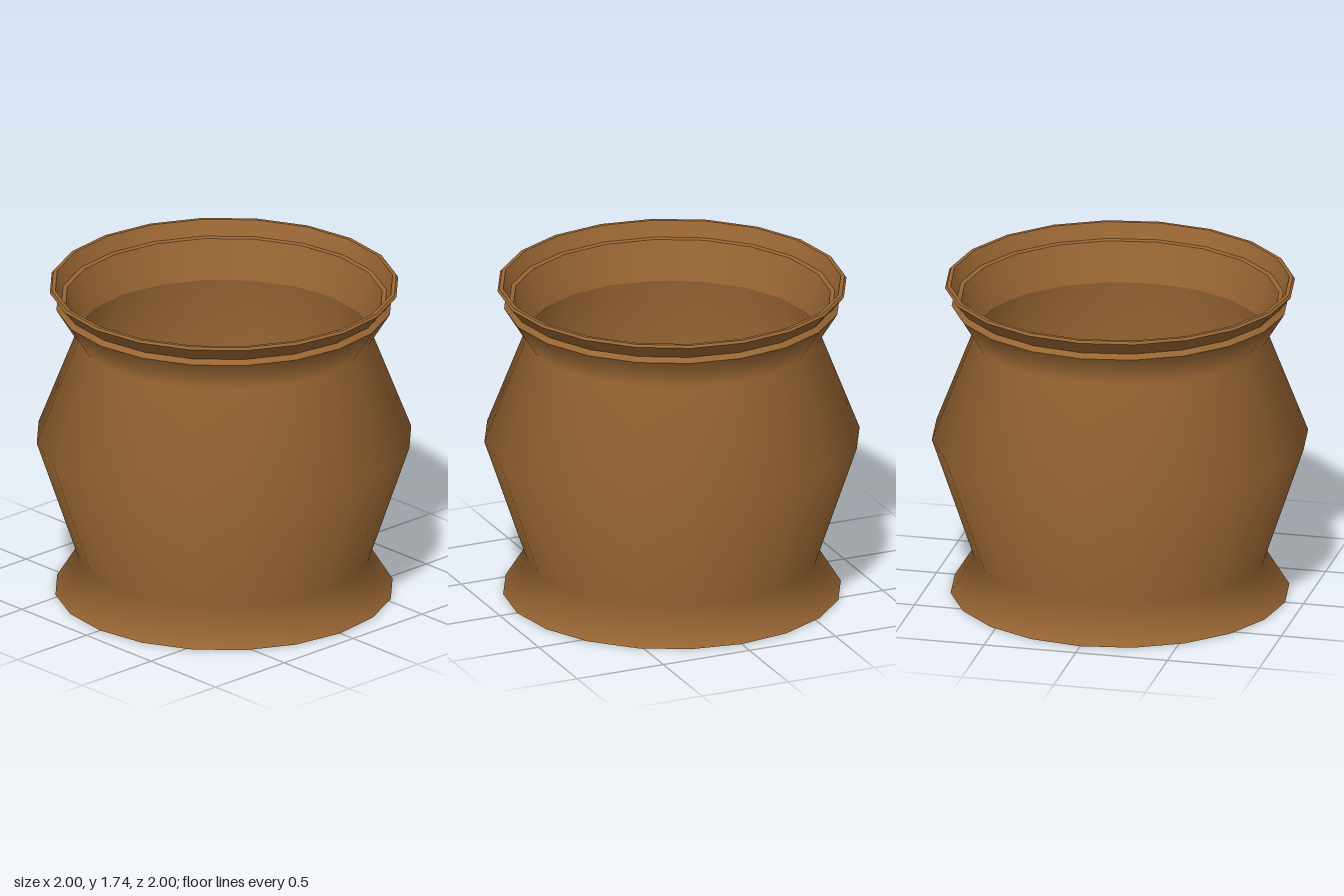
import * as THREE from 'three';

const SIDES = 20;

export function createModel() {
  const group = new THREE.Group();
  const clay = new THREE.MeshStandardMaterial({ color: 0x996633, side: THREE.DoubleSide });

  // Turn a profile of [radius, height] pairs, ordered bottom to top on the outside
  const turn = (name, profile, parent = group) => {
    const points = profile.map(([r, y]) => new THREE.Vector2(r, y));
    const mesh = new THREE.Mesh(new THREE.LatheGeometry(points, SIDES), clay);
    mesh.name = name;
    parent.add(mesh);
  };

  // Thin wall: flared foot, wide belly, narrow neck and flared shoulder, smoothly shaded
  turn('potWall', [[0.9, 0], [0.775, 0.2], [1, 0.87], [0.78, 1.44], [0.895, 1.625]]);

  // Flat base closing the foot
  turn('base', [[0, 0], [0.9, 0]]);

  // Rim: one band per profile step so that its edges stay sharp
  const rim = new THREE.Group();
  rim.name = 'rim';
  group.add(rim);
  const rimProfile = [
    [0.895, 1.625], [0.87, 1.65], [0.93, 1.725], [0.92, 1.738],
    [0.9, 1.738], [0.868, 1.655], [0.845, 1.65], [0.78, 1.44],
  ];
  for (let i = 0; i < rimProfile.length - 1; i++) {
    turn('rimBand', [rimProfile[i], rimProfile[i + 1]], rim);
  }

  return group;
}
